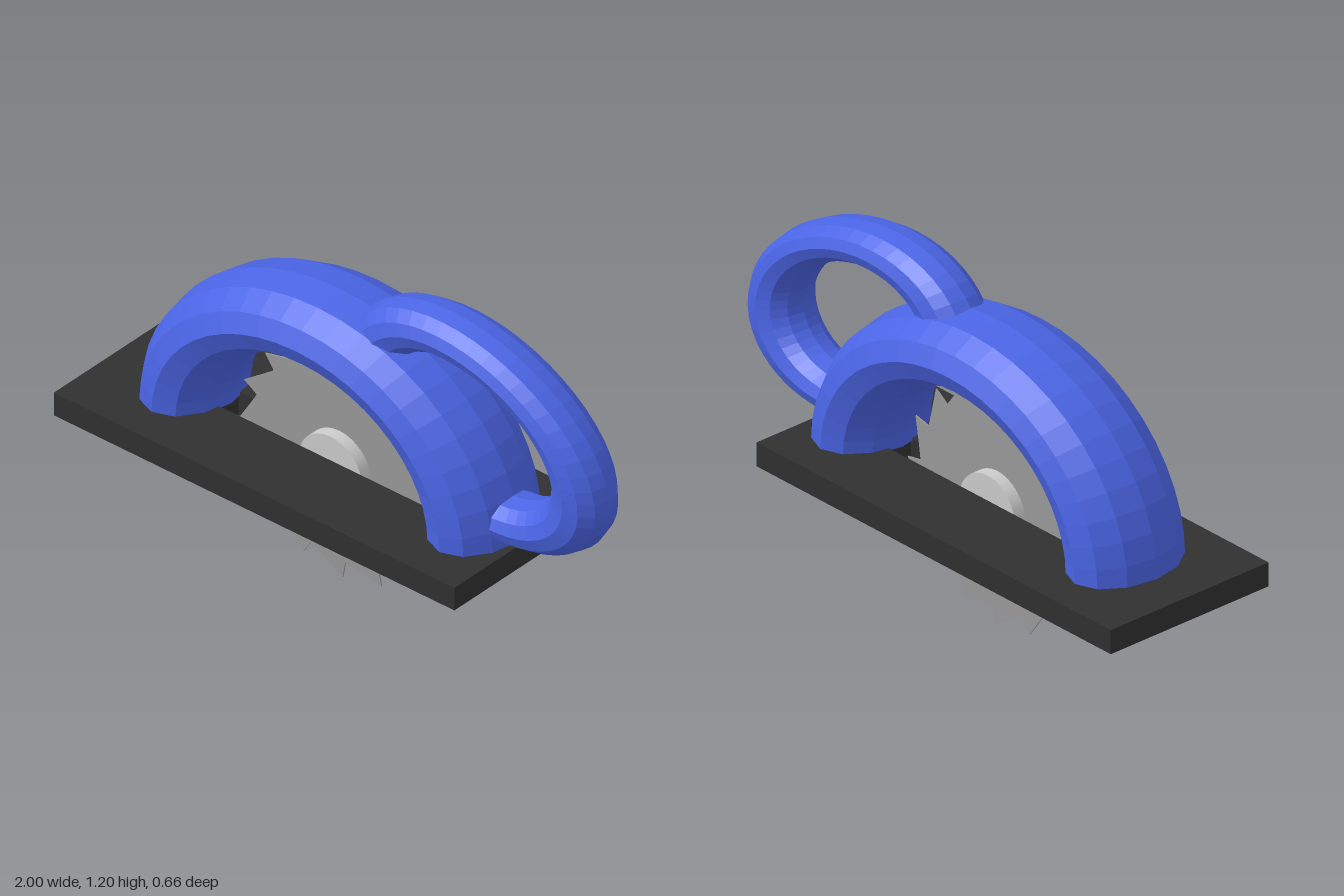
import * as THREE from 'three';

const paint = (color, extra = {}) => new THREE.MeshStandardMaterial({ color, ...extra });

export function createModel() {
  const model = new THREE.Group();
  const blue = paint(0x4a64e4, { flatShading: true });
  const dark = paint(0x303030);
  const CX = -0.11, CY = 0.42; // blade axis

  const add = (name, geometry, material, x, y, z) => {
    const mesh = new THREE.Mesh(geometry, material);
    mesh.name = name;
    mesh.position.set(x, y, z);
    model.add(mesh);
    return mesh;
  };

  // Flat rectangle with a slot for the blade, lying in the xz plane
  const slottedPlate = (x0, x1, halfZ, thickness) => {
    const rect = (Type, a, b, h) => new Type([[a, -h], [b, -h], [b, h], [a, h]].map(p => new THREE.Vector2(...p)));
    const shape = rect(THREE.Shape, x0, x1, halfZ);
    shape.holes.push(rect(THREE.Path, CX - 0.46, CX + 0.46, 0.05));
    return new THREE.ExtrudeGeometry(shape, { depth: thickness, bevelEnabled: false }).rotateX(-Math.PI / 2);
  };
  add('basePlate', slottedPlate(-1, 0.645, 0.33, 0.085), dark, 0, 0.38, 0);
  add('baseUnderside', slottedPlate(-0.955, 0.61, 0.265, 0.01), dark, 0, 0.376, 0);

  // Arched guard: half torus, lowered and widened
  const guard = new THREE.TorusGeometry(0.592, 0.148, 12, 24, Math.PI).scale(1, 0.85, 1.43);
  add('bladeGuard', guard, blue, CX, 0.455, 0);

  // Tilted oval handle, with both ends buried in the guard
  const start = THREE.MathUtils.degToRad(-88);
  const sweep = THREE.MathUtils.degToRad(273);
  const handle = new THREE.TorusGeometry(0.8, 0.2, 12, 36, sweep)
    .rotateZ(start)
    .scale(0.531, 0.341, 0.55)
    .rotateZ(THREE.MathUtils.degToRad(-18.6));
  add('handle', handle, blue, 0.485, 0.84, 0);

  // Saw blade with raked teeth
  const teeth = 16, outline = [];
  const polar = (r, a) => new THREE.Vector2(r * Math.cos(a), r * Math.sin(a));
  for (let i = 0; i < teeth; i++) {
    const tip = THREE.MathUtils.degToRad(1.8) + (i / teeth) * Math.PI * 2;
    outline.push(polar(0.418, tip), polar(0.358, tip + 0.035), polar(0.372, tip + 0.17));
  }
  const blade = new THREE.ExtrudeGeometry(new THREE.Shape(outline), { depth: 0.005, bevelEnabled: false });
  add('sawBlade', blade, paint(0x999999), CX, CY, -0.0025);

  // Hub through the blade
  add('bladeHub', new THREE.CylinderGeometry(0.13, 0.13, 0.09, 32).rotateX(Math.PI / 2), paint(0xcccccc), CX, CY, 0);

  return model;
}
